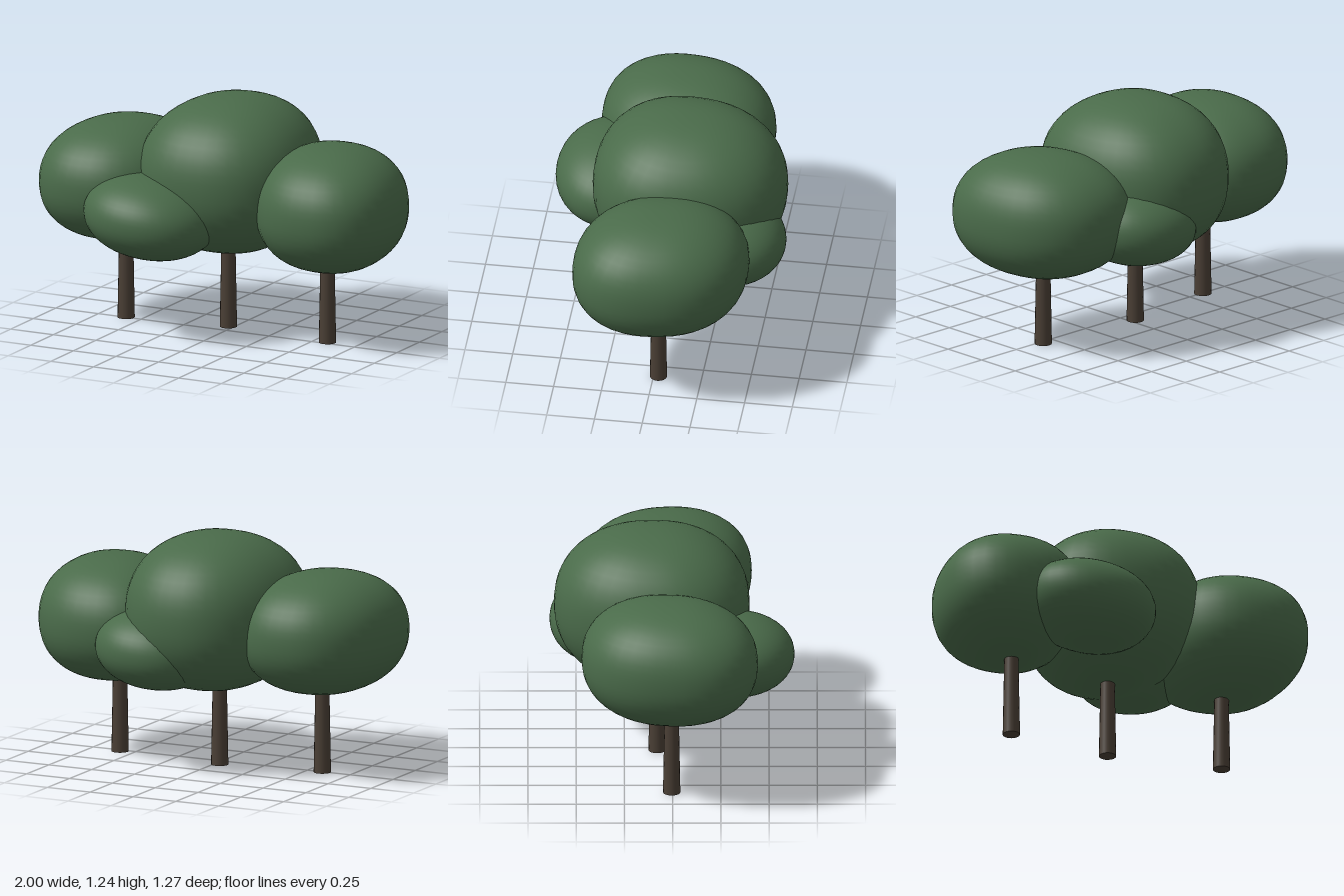
import * as THREE from 'three';

const foliage = new THREE.MeshStandardMaterial({ color: 0x4a6b4a });
foliage.name = 'foliage green';
const bark = new THREE.MeshStandardMaterial({ color: 0x4a3f35 });
bark.name = 'bark brown';

// Rounded, slightly boxy egg. skewX moves x along z, skewY moves y along x,
// taper widens x towards the front.
function crown(name, centre, radii, { power = 2.25, skewX = 0, skewY = 0, taper = 0 } = {}) {
  const geometry = new THREE.SphereGeometry(1, 40, 28);
  const p = geometry.attributes.position;
  const n = geometry.attributes.normal;
  const place = (v) => {
    const sum = Math.abs(v.x) ** power + Math.abs(v.y) ** power + Math.abs(v.z) ** power;
    v.multiplyScalar(sum ** (-1 / power));
    const { x, y, z } = v;
    return v.set(
      x * radii[0] * (1 + taper * z) + skewX * z,
      y * radii[1] + skewY * x,
      z * radii[2]
    );
  };
  const dir = new THREE.Vector3(), a = new THREE.Vector3(), b = new THREE.Vector3();
  const side = new THREE.Vector3(), up = new THREE.Vector3();
  for (let i = 0; i < p.count; i++) {
    dir.fromBufferAttribute(p, i).normalize();
    // Smooth normals from two tangents, so the seam stays invisible
    side.set(Math.abs(dir.y) > 0.9 ? 1 : 0, Math.abs(dir.y) > 0.9 ? 0 : 1, 0).cross(dir).normalize();
    up.crossVectors(dir, side);
    const here = place(dir.clone());
    a.copy(place(dir.clone().addScaledVector(side, 0.01))).sub(here);
    b.copy(place(dir.clone().addScaledVector(up, 0.01))).sub(here);
    a.cross(b).normalize();
    p.setXYZ(i, here.x, here.y, here.z);
    n.setXYZ(i, a.x, a.y, a.z);
  }
  const mesh = new THREE.Mesh(geometry, foliage);
  mesh.name = name;
  mesh.position.set(...centre);
  return mesh;
}

// Tapered trunk running up into its crown
function trunk(name, x, z) {
  const height = 0.6;
  const mesh = new THREE.Mesh(new THREE.CylinderGeometry(0.034, 0.045, height, 16), bark);
  mesh.name = name;
  mesh.position.set(x, height / 2, z);
  return mesh;
}

export function createModel() {
  const group = new THREE.Group();
  group.name = 'treeCluster';
  group.add(
    trunk('rightTrunk', -0.59, -0.005),
    trunk('middleTrunk', -0.03, -0.08),
    trunk('leftTrunk', 0.58, -0.025),
    // Three main crowns
    crown('middleCrown', [-0.015, 0.823, -0.108], [0.447, 0.412, 0.507], { taper: 0.08, skewX: -0.01 }),
    crown('rightCrown', [-0.61, 0.75, -0.015], [0.388, 0.32, 0.457], { skewX: -0.04 }),
    crown('leftCrown', [0.6, 0.722, -0.04], [0.396, 0.328, 0.451], { skewX: 0.05 }),
    // Low side clumps at the front and back
    crown('frontClump', [-0.28, 0.648, 0.31], [0.35, 0.216, 0.322], { power: 2.1, skewY: -0.03 }),
    crown('backClump', [0.21, 0.642, -0.32], [0.32, 0.213, 0.318], { power: 2.1, skewY: 0.02 })
  );
  return group;
}
